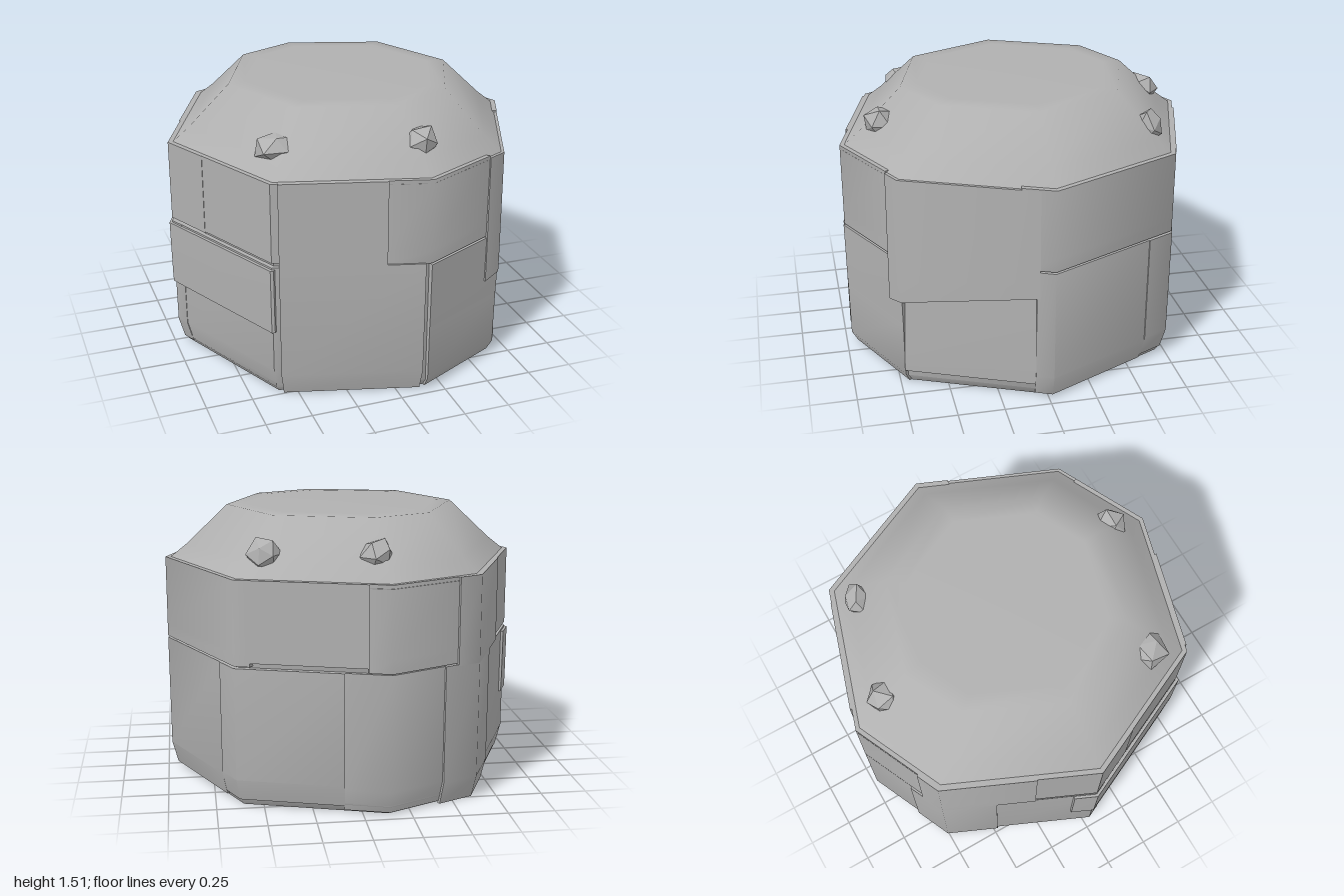
import * as THREE from 'three';
import { toCreasedNormals } from 'three/addons/utils/BufferGeometryUtils.js';

// Eight-cornered plan (x, z), starting at the front corner and turning towards +x
const PLAN = [
  [0.16, 0.99], [0.67, 0.74], [0.99, -0.02], [0.65, -0.75],
  [-0.14, -1.0], [-0.64, -0.77], [-0.99, 0.02], [-0.64, 0.77],
];

// Point at perimeter position u (whole numbers are corners), scaled about the axis
function at(u, scale, y) {
  const i = Math.floor(u), t = u - i;
  const a = PLAN[i % 8], b = PLAN[(i + 1) % 8];
  return [(a[0] + (b[0] - a[0]) * t) * scale, y, (a[1] + (b[1] - a[1]) * t) * scale];
}

// Skin a row of upright columns, each with the same number of points
function loft(columns) {
  const n = columns[0].length, index = [];
  for (let i = 0; i < columns.length - 1; i++) {
    for (let j = 0; j < n - 1; j++) {
      const a = i * n + j, b = a + n;
      index.push(a, b, b + 1, a, b + 1, a + 1);
    }
  }
  const geo = new THREE.BufferGeometry();
  geo.setAttribute('position', new THREE.Float32BufferAttribute(columns.flat(2), 3));
  geo.setIndex(index);
  return toCreasedNormals(geo, 0.85);
}

// Closed body with a sloped shoulder and flat top; profile is [scale, height]
function bodyGeometry() {
  const profile = [
    [0, 0.01], [0.8, 0.01], [0.93, 0.015], [0.96, 0.06], [0.96, 1.12],
    [0.985, 1.21], [0.87, 1.3], [0.64, 1.515], [0.54, 1.52], [0, 1.525],
  ];
  const columns = [];
  for (let u = 0; u <= 8; u++) columns.push(profile.map(([s, y]) => at(u, s, y)));
  return loft(columns);
}

// Shallow facing block that follows the plan from u0 to u1. low and high are the
// outsets of its lower and upper edges; slope and topSlope raise its far end
function blockGeometry({ u0, u1, y0, y1, low, high, slope = 0, topSlope = 0 }) {
  const inner = 0.94, us = [u0];
  for (let u = Math.floor(u0) + 1; u < u1; u++) us.push(u);
  us.push(u1);
  const column = (u, closed) => {
    const t = (u - u0) / (u1 - u0);
    const bottom = y0 + slope * t, top = y1 + topSlope * t;
    const mid = Math.max(low, high - 0.003);
    return [[inner, 0], [low, 0], [mid, 0.16], [high, 1], [inner, 1]].map(
      ([s, f]) => at(u, closed ? inner : s, bottom + (top - bottom) * f));
  };
  return loft([column(u0, true), ...us.map((u) => column(u, false)), column(u1, true)]);
}

// Small broken stone with an uneven surface
function chipGeometry(seed) {
  const geo = new THREE.IcosahedronGeometry(1, 0);
  const p = geo.attributes.position, v = new THREE.Vector3();
  for (let i = 0; i < p.count; i++) {
    v.fromBufferAttribute(p, i);
    v.multiplyScalar(0.95 + 0.17 * Math.sin(v.x * 5 + v.y * 7 + v.z * 3 + seed * 2));
    p.setXYZ(i, v.x, v.y, v.z);
  }
  geo.computeVertexNormals();
  return geo;
}

export function createModel() {
  const stone = new THREE.MeshStandardMaterial({ color: 0xb0b0b0 });
  stone.name = 'greyStone';
  const model = new THREE.Group();
  model.name = 'stoneStump';
  const add = (name, geometry) => {
    const mesh = new THREE.Mesh(geometry, stone);
    mesh.name = name;
    model.add(mesh);
    return mesh;
  };

  add('stoneBody', bodyGeometry());

  // Two courses of blocks between seams, each block set out a little differently
  const course = (name, seams, y0, y1, chamfer) => {
    for (let i = 0; i < seams.length - 1; i++) {
      const high = 0.99 + 0.006 * Math.sin(i * 2.4);
      add(name, blockGeometry({
        u0: seams[i], u1: seams[i + 1], y0: y0 + 0.02 * Math.sin(i * 1.7), y1, low: high - chamfer, high,
      }));
    }
  };
  course('lowerBlock', [1.88, 2.8, 3.7, 4.6, 5.35, 6.1, 7.05, 7.96], 0.03, 0.77, 0.035);
  course('upperBlock', [1.78, 3.1, 3.85, 4.75, 5.6, 6.35, 7.05, 7.72, 8.8], 0.78, 1.23, 0);

  // Odd blocks: split front pair, sunken side block, block above it, left bulge
  add('frontStub', blockGeometry({ u0: 0, u1: 1, y0: 0.39, y1: 0.76, low: 0.985, high: 0.99 }));
  add('frontFoot', blockGeometry({ u0: 0, u1: 1, y0: 0.02, y1: 0.39, low: 0.95, high: 0.985 }));
  add('sunkenBlock', blockGeometry({
    u0: 1, u1: 1.88, y0: 0.1, y1: 0.52, low: 0.985, high: 0.965, topSlope: 0.1,
  }));
  add('cornerBlock', blockGeometry({
    u0: 0.8, u1: 1.9, y0: 0.5, y1: 1.22, low: 0.995, high: 0.99, slope: 0.12,
  }));
  add('leftBulge', blockGeometry({ u0: 5.85, u1: 7.02, y0: 0.4, y1: 0.76, low: 1, high: 1.005 }));

  // Broken stones lying on the sloped shoulder: x, y, z, size
  [
    [0.17, 1.35, 0.76, 0.1], [-0.53, 1.34, 0.55, 0.12],
    [0.47, 1.34, -0.64, 0.09], [-0.09, 1.34, -0.78, 0.1],
  ].forEach(([x, y, z, size], i) => {
    const chip = add('shoulderChip', chipGeometry(i));
    chip.position.set(x, y, z);
    chip.scale.set(size, 0.09, size);
    chip.rotation.y = i * 1.3;
  });
  return model;
}
